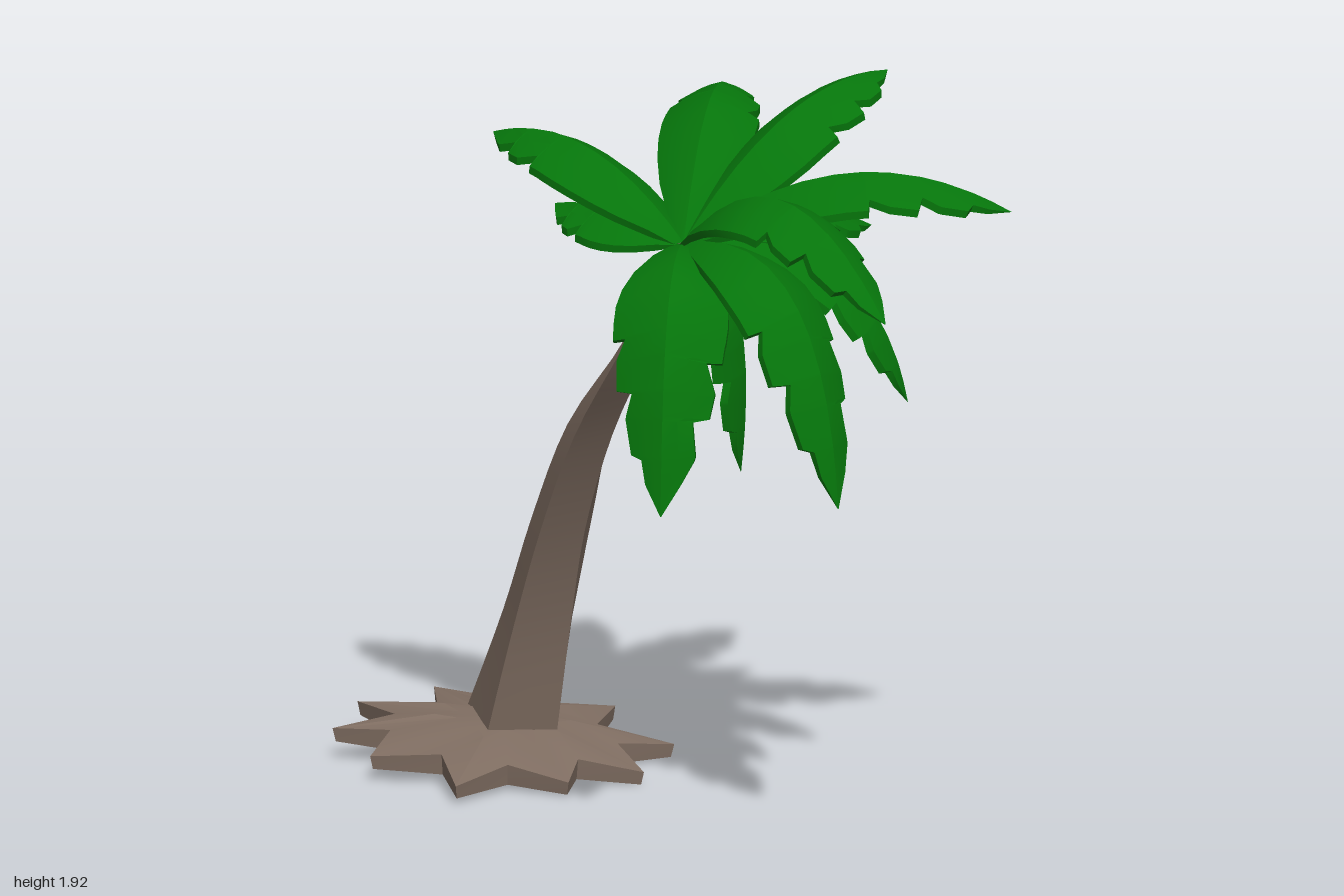
import * as THREE from 'three';
import { toCreasedNormals } from 'three/addons/utils/BufferGeometryUtils.js';

const V = (x, y, z) => new THREE.Vector3(x, y, z);

// Skin a list of rings (each an array of Vector3) and close both ends.
function loft(rings, crease) {
  const pos = [];
  const tri = (...pts) => pts.forEach(p => pos.push(p.x, p.y, p.z));
  const n = rings[0].length;
  for (let r = 0; r < rings.length - 1; r++) {
    for (let i = 0; i < n; i++) {
      const j = (i + 1) % n, a = rings[r], b = rings[r + 1];
      tri(a[i], a[j], b[j]);
      tri(a[i], b[j], b[i]);
    }
  }
  const cap = (ring, flip) => {
    const c = V(0, 0, 0);
    ring.forEach(p => c.addScaledVector(p, 1 / n));
    ring.forEach((p, i) => {
      const q = ring[(i + 1) % n];
      flip ? tri(c, q, p) : tri(c, p, q);
    });
  };
  cap(rings[0], true);
  cap(rings[rings.length - 1], false);
  const g = new THREE.BufferGeometry();
  g.setAttribute('position', new THREE.Float32BufferAttribute(pos, 3));
  return toCreasedNormals(g, crease);
}

// Star-shaped root plate: tips and notches as [x, z], sloping down towards +x.
function rootGeometry() {
  const outline = [
    [-1, 0.04], [-0.82, 0.09], [-0.88, 0.26], [-0.73, 0.2], [-0.65, 0.36],
    [-0.5, 0.25], [-0.33, 0.375], [-0.33, 0.18], [-0.17, 0.12], [-0.25, 0],
    [-0.11, -0.1], [-0.28, -0.18], [-0.23, -0.34], [-0.43, -0.26], [-0.555, -0.46],
    [-0.65, -0.29], [-0.8, -0.42], [-0.77, -0.22], [-0.965, -0.21], [-0.82, -0.07],
  ];
  const ring = (scale, lift, notchLift) => outline.map(([x, z], i) => {
    const px = -0.55 + (x + 0.55) * scale, pz = -0.03 + (z + 0.03) * scale;
    return V(px, 0.055 - 0.06 * (px + 1) + (i % 2 ? notchLift : lift), pz);
  });
  return loft([ring(0.98, 0, 0), ring(1, 0.035, 0.055), ring(0.4, 0.088, 0.088)], 0.5);
}

// Four-sided leaning trunk; each level: y, x of left/front/right edges, z of front/middle/back edges.
function trunkGeometry() {
  const levels = [
    [0.05, -0.74, -0.515, -0.4, 0.08, -0.07, -0.19],
    [0.4, -0.565, -0.415, -0.325, 0.07, -0.05, -0.165],
    [0.68, -0.425, -0.305, -0.235, 0.085, -0.01, -0.115],
    [0.97, -0.25, -0.15, -0.09, 0.12, 0.04, -0.025],
    [1.27, 0.02, 0.07, 0.115, 0.16, 0.1, 0.05],
    [1.57, 0.21, 0.245, 0.275, 0.165, 0.14, 0.11],
  ];
  const edge = pick => new THREE.CatmullRomCurve3(levels.map(pick)).getPoints(20);
  const edges = [
    edge(l => V(l[1], l[0], l[5])),
    edge(l => V(l[2], l[0], l[4])),
    edge(l => V(l[3], l[0], l[5])),
    edge(l => V((l[1] + l[3]) / 2 + 0.02, l[0], l[6])),
  ];
  return loft(edges[0].map((_, i) => edges.map(e => e[i])), 0.5);
}

// Leaf outline: [position along rib, half width on one side, on the other], torn towards the tip.
const LEAF = [
  [0, 0.22, 0.22], [0.07, 0.48, 0.48], [0.16, 0.77, 0.77], [0.26, 0.94, 0.94], [0.36, 1.02, 1.02],
  [0.46, 1.04, 1.03], [0.54, 1.02, 1.02], [0.55, 1.01, 0.78], [0.62, 0.98, 0.92], [0.63, 0.72, 0.92],
  [0.72, 0.88, 0.9], [0.73, 0.87, 0.6], [0.79, 0.8, 0.7], [0.8, 0.52, 0.7], [0.88, 0.58, 0.58],
  [0.89, 0.56, 0.38], [0.94, 0.34, 0.3], [1, 0.01, 0.01],
];
const CROWN = V(0.26, 1.57, 0.14);

// Arching leaf with a raised rib and curved halves; bend is how far out the arch is held, peak its control height.
function frondGeometry([x, y, z, bend, peak, width]) {
  const tip = V(x, y, z);
  const h = V(x - CROWN.x, 0, z - CROWN.z);
  const control = V(CROWN.x + h.x * bend, peak, CROWN.z + h.z * bend);
  const curve = new THREE.QuadraticBezierCurve3(CROWN, control, tip);
  h.normalize();
  const side = V(h.z, 0, -h.x);
  const rings = LEAF.map(([t, right, left]) => {
    const p = curve.getPoint(t), T = curve.getTangent(t);
    const up = T.clone().cross(side);
    const thick = 0.02 * Math.min(1, right * 2);
    const at = (s, drop) => p.clone().addScaledVector(side, s * width * 0.93)
      .addScaledVector(up, -(Math.abs(s) ** 1.4) * width * 0.48 - drop)
      .addScaledVector(T, Math.abs(s) * width * 0.25 * (1 - t));
    const across = [right, right / 2, 0, -left / 2, -left];
    return [...across.map(s => at(s, 0)), ...across.reverse().map(s => at(s, thick))];
  });
  return loft(rings, 0.45);
}

export function createModel() {
  const bark = new THREE.MeshStandardMaterial({ color: 0x806e62 });
  bark.name = 'bark brown';
  const leaf = new THREE.MeshStandardMaterial({ color: 0x06750b });
  leaf.name = 'leaf green';

  const model = new THREE.Group();
  model.name = 'palmTree';
  const add = (parent, geometry, material, name) => {
    const mesh = new THREE.Mesh(geometry, material);
    mesh.name = name;
    parent.add(mesh);
  };
  add(model, rootGeometry(), bark, 'roots');
  add(model, trunkGeometry(), bark, 'trunk');

  // Fronds: tip x, y, z, bend, peak height, half width
  const fronds = [
    [1.0, 1.49, 0.16, 0.5, 1.97, 0.14],
    [-0.4, 1.75, 0.16, 0.5, 1.87, 0.13],
    [0.87, 1.65, -0.45, 0.5, 1.9, 0.14],
    [0.35, 1.92, -0.53, 0.5, 1.96, 0.135],
    [-0.08, 1.81, -0.4, 0.5, 2.02, 0.13],
    [0.87, 0.98, 0.2, 0.9, 1.74, 0.14],
    [0.54, 0.96, 0.52, 0.9, 1.66, 0.155],
    [0.38, 0.96, 0.05, 1.4, 1.52, 0.13],
    [0.7, 1.15, -0.24, 0.85, 1.64, 0.125],
    [0.06, 1.31, -0.39, 0.65, 1.67, 0.115],
    [0.36, 1.52, -0.46, 0.5, 1.69, 0.12],
    [-0.15, 1.61, 0.19, 0.5, 1.66, 0.12],
  ];
  const crown = new THREE.Group();
  crown.name = 'crown';
  fronds.forEach((f, i) => add(crown, frondGeometry(f), leaf, `frond${i + 1}`));
  model.add(crown);
  return model;
}
